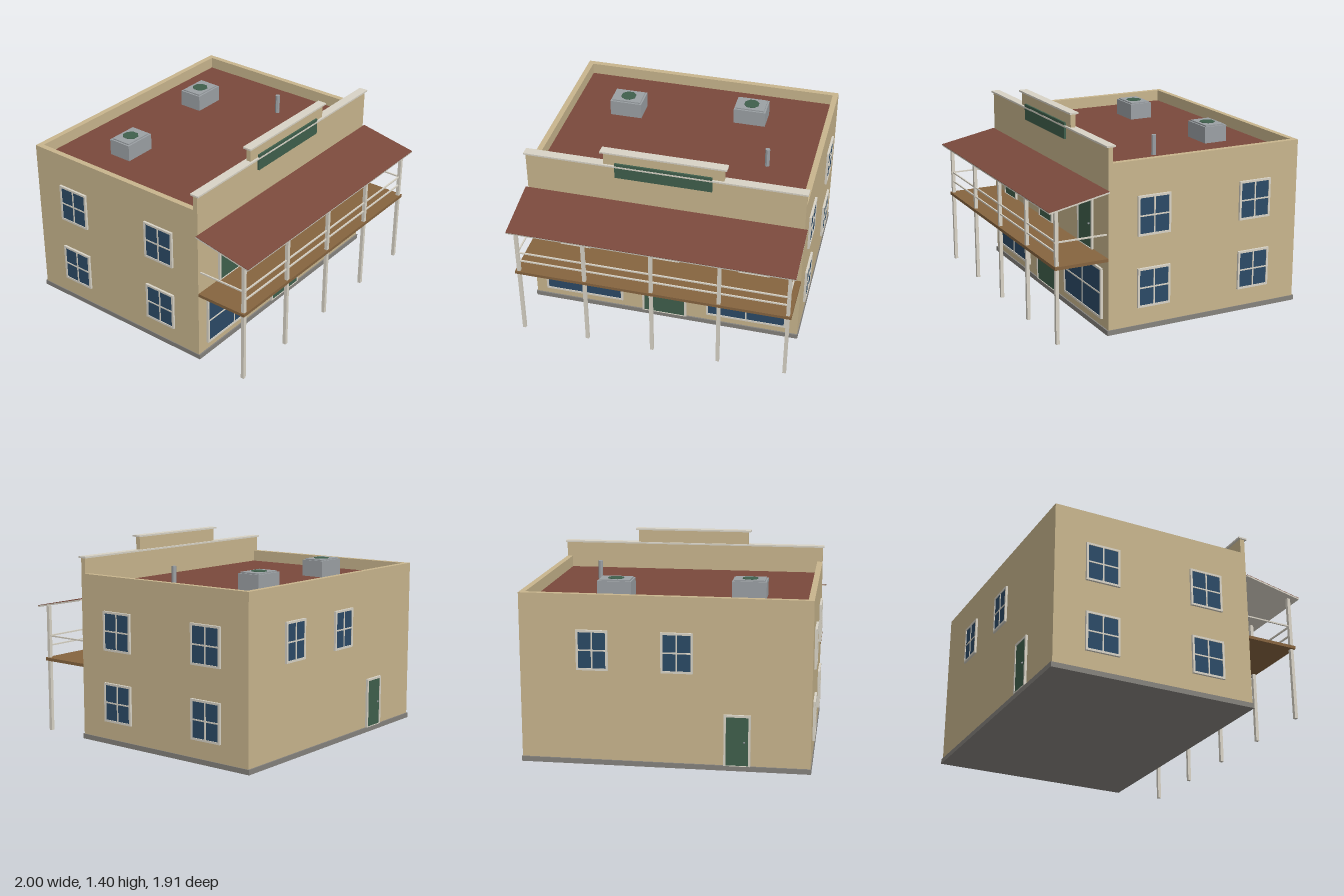
import * as THREE from 'three';

const mat = (color, side = THREE.FrontSide) =>
  new THREE.MeshStandardMaterial({ color, side, flatShading: true });
const WALL = mat(0xc8b58d), RED = mat(0x7a493c), GREEN = mat(0x3f5f4c), BLUE = mat(0x2b4a66),
  TRIM = mat(0xd8d3c6), WOOD = mat(0x86643f), STONE = mat(0x85827d), METAL = mat(0x9ba0a4);

function add(parent, name, geometry, material, x = 0, y = 0, z = 0) {
  const mesh = new THREE.Mesh(geometry, material);
  mesh.name = name;
  mesh.position.set(x, y, z);
  parent.add(mesh);
  return mesh;
}

// Box given by its lower and upper limits on each axis
function box(parent, name, material, x0, x1, y0, y1, z0, z1) {
  return add(parent, name, new THREE.BoxGeometry(x1 - x0, y1 - y0, z1 - z0), material,
    (x0 + x1) / 2, (y0 + y1) / 2, (z0 + z1) / 2);
}

// Framed opening facing +z, origin at the bottom centre on the wall
function opening(name, w, h, isDoor) {
  const g = new THREE.Group(), f = 0.015, sill = isDoor ? 0.004 : f;
  g.name = name;
  const outline = new THREE.Shape([[-w / 2, 0], [w / 2, 0], [w / 2, h], [-w / 2, h]]
    .map(p => new THREE.Vector2(...p)));
  const a = w / 2 - f;
  outline.holes.push(new THREE.Path([[-a, sill], [-a, h - f], [a, h - f], [a, sill]]
    .map(p => new THREE.Vector2(...p))));
  add(g, 'frame', new THREE.ExtrudeGeometry(outline, { depth: 0.016, bevelEnabled: false }), TRIM);
  box(g, isDoor ? 'doorPanel' : 'glass', isDoor ? GREEN : BLUE, -a, a, sill, h - f, 0, 0.011);
  if (isDoor) {
    add(g, 'knob', new THREE.SphereGeometry(0.007, 8, 6), METAL, a - 0.027, h * 0.475, 0.017);
  } else {
    box(g, 'verticalBar', TRIM, -0.005, 0.005, f, h - f, 0.01, 0.015);
    box(g, 'horizontalBar', TRIM, -a, a, h / 2 - 0.005, h / 2 + 0.005, 0.01, 0.015);
  }
  return g;
}

function place(parent, item, x, y, z, turn = 0) {
  item.position.set(x, y, z);
  item.rotation.y = turn;
  parent.add(item);
}

export function createModel() {
  const model = new THREE.Group();
  model.name = 'storefrontBuilding';

  // Main block, roof and low parapets
  box(model, 'foundation', STONE, -0.985, 0.985, 0, 0.035, -0.94, 0.54);
  box(model, 'walls', WALL, -0.98, 0.98, 0.035, 1.085, -0.93, 0.53);
  box(model, 'roof', RED, -0.94, 0.94, 1.08, 1.092, -0.89, 0.495);
  for (const s of [-1, 1])
    box(model, 'sideParapet', WALL, Math.min(s * 0.94, s * 0.98), Math.max(s * 0.94, s * 0.98),
      1.085, 1.175, -0.93, 0.495);
  box(model, 'backParapet', WALL, -0.94, 0.94, 1.085, 1.175, -0.93, -0.89);

  // Stepped false front with caps and a blank signboard
  box(model, 'falseFront', WALL, -0.98, 0.98, 1.085, 1.285, 0.495, 0.53);
  box(model, 'falseFrontCap', TRIM, -0.99, 0.99, 1.283, 1.295, 0.48, 0.545);
  box(model, 'raisedFront', WALL, -0.42, 0.42, 1.285, 1.39, 0.495, 0.53);
  box(model, 'raisedFrontCap', TRIM, -0.44, 0.44, 1.388, 1.4, 0.48, 0.545);
  box(model, 'signboard', GREEN, -0.34, 0.34, 1.2, 1.315, 0.53, 0.543);

  // Front doors and shop windows
  place(model, opening('frontDoor', 0.33, 0.395, true), 0, 0.035, 0.53);
  for (const x of [-0.655, 0, 0.65])
    place(model, opening('balconyDoor', 0.226, 0.36, true), x, 0.538, 0.53);
  for (const x of [-0.605, 0.605])
    place(model, opening('shopWindow', 0.585, 0.355, false), x, 0.09, 0.53);

  // Side windows
  for (const s of [-1, 1])
    for (const z of [0.195, -0.585])
      for (const y of [0.16, 0.66])
        place(model, opening('sideWindow', 0.245, 0.275, false), s * 0.98, y, z, s * Math.PI / 2);

  // Back windows and door
  for (const x of [-0.085, 0.485])
    place(model, opening('backWindow', 0.215, 0.275, false), x, 0.66, -0.93, Math.PI);
  place(model, opening('backDoor', 0.18, 0.355, true), -0.49, 0.035, -0.93, Math.PI);

  // Porch: deck, posts and rails
  box(model, 'balconyDeck', WOOD, -0.98, 0.98, 0.515, 0.537, 0.53, 0.91);
  for (let i = -2; i <= 2; i++) {
    const x = i * 0.4775;
    box(model, 'porchPost', TRIM, x - 0.012, x + 0.012, 0, 0.91, 0.878, 0.902);
  }
  for (const y of [0.625, 0.695])
    box(model, 'frontRail', TRIM, -0.965, 0.965, y - 0.005, y + 0.005, 0.885, 0.895);
  for (const x of [-0.955, 0.955])
    box(model, 'sideRail', TRIM, x - 0.005, x + 0.005, 0.69, 0.7, 0.53, 0.905);

  // Sloping awning: pale slab with a red covering
  const awning = new THREE.Group();
  awning.name = 'awning';
  const slope = Math.atan2(0.083, 0.425), length = Math.hypot(0.083, 0.425);
  box(awning, 'awningSlab', TRIM, -1, 1, -0.013, -0.002, 0, length);
  box(awning, 'awningCover', RED, -1, 1, -0.002, 0.001, 0, length);
  awning.position.set(0, 0.997, 0.53);
  awning.rotation.x = slope;
  model.add(awning);

  // Rooftop cooling units and vent pipe
  for (const [x, z] of [[-0.523, -0.448], [0.387, -0.56]]) {
    const unit = new THREE.Group();
    unit.name = 'coolingUnit';
    box(unit, 'casing', METAL, -0.118, 0.118, 0, 0.118, -0.087, 0.087);
    box(unit, 'lid', METAL, -0.106, 0.106, 0.118, 0.127, -0.075, 0.075);
    const fan = add(unit, 'fan', new THREE.CylinderGeometry(0.057, 0.057, 0.006, 8), GREEN, 0, 0.127, 0);
    fan.rotation.y = Math.PI / 8;
    place(model, unit, x, 1.091, z);
  }
  add(model, 'ventPipe', new THREE.CylinderGeometry(0.017, 0.017, 0.142, 8), METAL, 0.615, 1.161, 0);

  return model;
}
